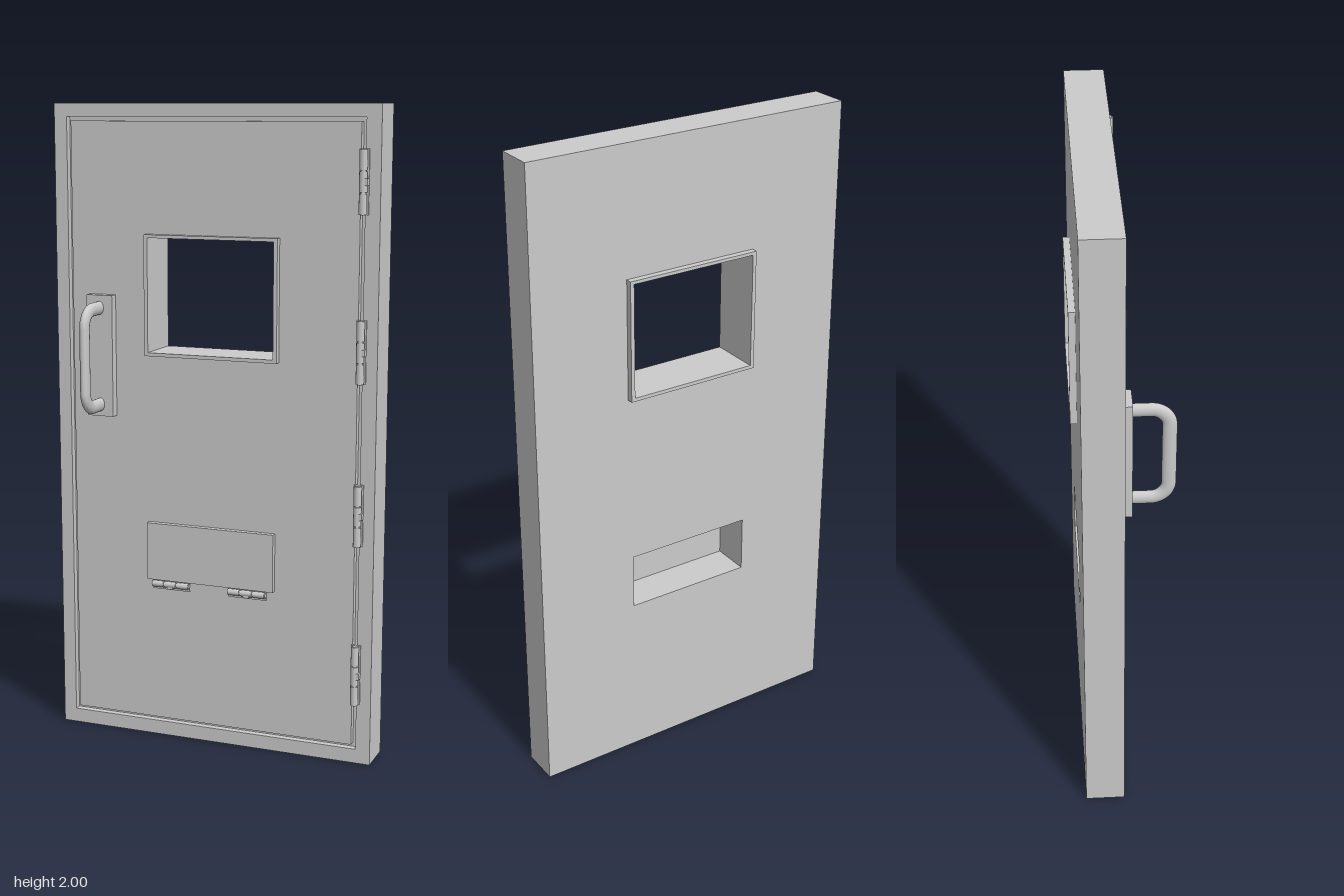
import * as THREE from 'three';

const material = new THREE.MeshStandardMaterial({ color: 0xcccccc });

// Counter-clockwise rectangle as a Shape or a Path
function rect(x0, y0, x1, y1, Type = THREE.Shape) {
  const r = new Type();
  r.moveTo(x0, y0);
  r.lineTo(x1, y0);
  r.lineTo(x1, y1);
  r.lineTo(x0, y1);
  r.closePath();
  return r;
}

function add(parent, name, geometry, x = 0, y = 0, z = 0) {
  const mesh = new THREE.Mesh(geometry, material);
  mesh.name = name;
  mesh.position.set(x, y, z);
  parent.add(mesh);
  return mesh;
}

// Rectangular panel with rectangular holes, between two z planes
function panel(parent, name, outer, holes, z0, z1) {
  const shape = rect(...outer);
  for (const h of holes) shape.holes.push(rect(...h, THREE.Path));
  const geometry = new THREE.ExtrudeGeometry(shape, { depth: z1 - z0, bevelEnabled: false });
  return add(parent, name, geometry, 0, 0, z0);
}

// Barrel hinge along y: thin leaves, knuckles, pin and a side lug
function makeHinge(name, length, radius, leafWidth) {
  const hinge = new THREE.Group();
  hinge.name = name;
  add(hinge, 'hingeLeaf', new THREE.BoxGeometry(leafWidth, length, 0.004), 0, 0, -radius + 0.002);
  const part = length / 3;
  for (let i = -1; i <= 1; i++) {
    add(hinge, 'hingeKnuckle', new THREE.CylinderGeometry(radius, radius, part - 0.004, 16), 0, i * part, 0);
  }
  add(hinge, 'hingePin', new THREE.CylinderGeometry(radius * 0.7, radius * 0.7, length, 12));
  add(hinge, 'hingeLug', new THREE.BoxGeometry(radius, 0.02, radius * 1.6), radius * 0.8, 0, 0);
  return hinge;
}

export function createModel() {
  const door = new THREE.Group();
  door.name = 'door';
  const back = -0.128, front = -0.008, grooveFloor = -0.03;
  const windowHole = [-0.21, 1.24, 0.21, 1.605];
  const slotHole = [-0.203, 0.525, 0.203, 0.7];

  // Slab, with the frame and leaf raised on either side of a groove
  panel(door, 'slab', [-0.522, 0, 0.522, 2], [windowHole, slotHole], back, grooveFloor);
  panel(door, 'outerFrame', [-0.522, 0, 0.522, 2], [[-0.48, 0.045, 0.476, 1.96]], grooveFloor, front);
  panel(door, 'doorLeaf', [-0.466, 0.058, 0.462, 1.947], [windowHole, slotHole], grooveFloor, front);

  // Window lining standing proud of both faces
  panel(door, 'windowLining', [-0.216, 1.235, 0.216, 1.608], [[-0.204, 1.246, 0.204, 1.598]], -0.148, 0.013);

  // Hatch flap closing the slot, hinged along its lower edge
  panel(door, 'hatchFlap', [-0.212, 0.522, 0.208, 0.705], [], front, 0.011);
  for (const x of [-0.135, 0.12]) {
    const hinge = makeHinge('hatchHinge', 0.125, 0.01, 0.036);
    hinge.rotation.z = -Math.PI / 2;
    hinge.position.set(x, 0.508, 0.004);
    door.add(hinge);
  }

  // Door hinges
  for (const y of [0.287, 0.787, 1.281, 1.777]) {
    const hinge = makeHinge('doorHinge', 0.19, 0.012, 0.03);
    hinge.position.set(0.473, y, 0.005);
    door.add(hinge);
  }

  // Handle: backplate and a rounded U-shaped grip, oval in section
  const handle = new THREE.Group();
  handle.name = 'handle';
  handle.position.x = -0.364;
  add(handle, 'handlePlate', new THREE.BoxGeometry(0.086, 0.38, 0.028), 0, 1.228, 0.006);
  const path = new THREE.CurvePath();
  const v = (y, z) => new THREE.Vector3(0, y, z);
  const low = 1.075, high = 1.378, out = 0.126, r = 0.052;
  path.add(new THREE.LineCurve3(v(low, 0.01), v(low, out - r)));
  path.add(new THREE.CubicBezierCurve3(
    v(low, out - r), v(low, out - r * 0.45), v(low + r * 0.45, out), v(low + r, out)));
  path.add(new THREE.LineCurve3(v(low + r, out), v(high - r, out)));
  path.add(new THREE.CubicBezierCurve3(
    v(high - r, out), v(high - r * 0.45, out), v(high, out - r * 0.45), v(high, out - r)));
  path.add(new THREE.LineCurve3(v(high, out - r), v(high, 0.01)));
  const grip = add(handle, 'handleGrip', new THREE.TubeGeometry(path, 80, 0.021, 20, false));
  grip.scale.x = 0.68;
  door.add(handle);

  return door;
}
